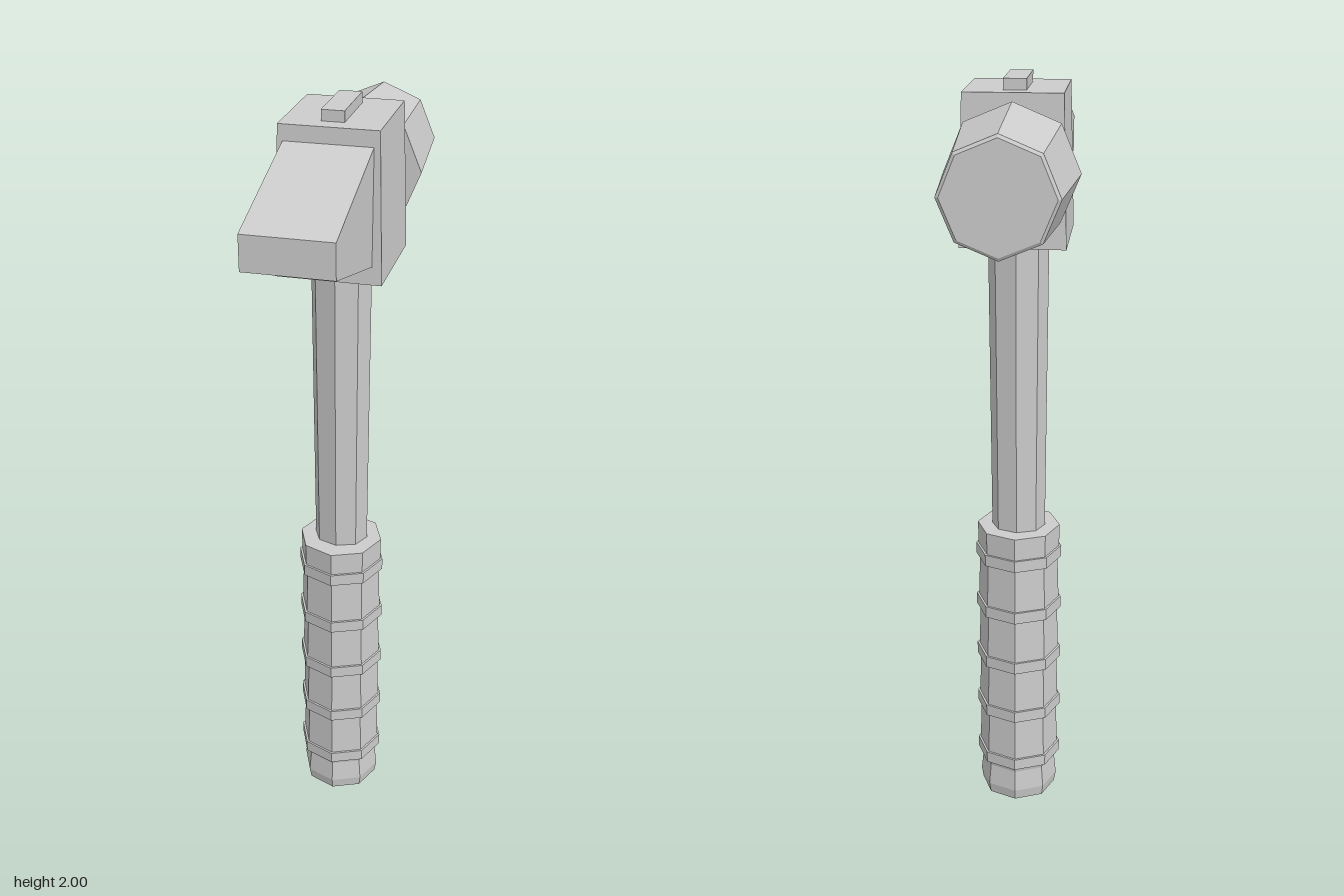
import * as THREE from 'three';

export function createModel() {
  const group = new THREE.Group();
  const steel = new THREE.MeshStandardMaterial({ color: 0xcccccc, flatShading: true });
  steel.name = 'light grey';

  const add = (name, geometry, x = 0, y = 0, z = 0) => {
    const mesh = new THREE.Mesh(geometry, steel);
    mesh.name = name;
    mesh.position.set(x, y, z);
    group.add(mesh);
    return mesh;
  };

  // Eight-sided turned solid from [radius, height] pairs, bottom to top
  const octagonal = (profile) =>
    new THREE.LatheGeometry(profile.map(([r, y]) => new THREE.Vector2(r, y)), 8);

  // Box whose vertices are moved by a rule
  const shapedBox = (w, h, d, rule) => {
    const geometry = new THREE.BoxGeometry(w, h, d);
    const p = geometry.attributes.position;
    const v = new THREE.Vector3();
    for (let i = 0; i < p.count; i++) {
      rule(v.fromBufferAttribute(p, i));
      p.setXYZ(i, v.x, v.y, v.z);
    }
    geometry.computeVertexNormals();
    return geometry;
  };

  // Grip with a flared butt and five raised rings
  const grip = [[0, 0], [0.103, 0], [0.108, 0.03], [0.102, 0.09]];
  for (let i = 0; i < 5; i++) {
    const y = 0.106 + i * 0.155;
    grip.push([0.106, y], [0.116, y], [0.116, y + 0.032], [0.11, y + 0.032]);
  }
  grip.push([0.111, 0.82], [0, 0.82]);
  add('grip', octagonal(grip), -0.001, 0, -0.002);

  // Slightly oval shaft, widening toward the head
  const shaft = add('shaft', octagonal([[0.071, 0.8], [0.077, 1.63]]), -0.001, 0, -0.005);
  shaft.scale.z = 0.87;

  // Central head block, narrower at the top
  add('headBlock', shapedBox(0.26, 0.365, 0.28, (v) => {
    if (v.y > 0) {
      v.x *= 0.12 / 0.13;
      v.z *= 0.13 / 0.14;
    }
  }), 0, 1.791, -0.01);

  // Wedge-shaped peen at the front
  add('peen', shapedBox(0.214, 0.29, 0.355, (v) => {
    if (v.z > 0) v.y *= 0.085 / 0.29;
  }), -0.001, 1.793, 0.2875);

  // Octagonal striking face at the back with a fine bevel
  const poll = add('strikingFace', octagonal([
    [0, 0], [0.163, 0], [0.138, 0.3], [0.13, 0.305], [0, 0.305],
  ]), -0.001, 1.793, -0.16);
  poll.rotation.x = -Math.PI / 2;

  // Wedge showing through the top of the head
  add('topWedge', new THREE.BoxGeometry(0.056, 0.04, 0.172), -0.001, 1.98, -0.01);

  return group;
}
